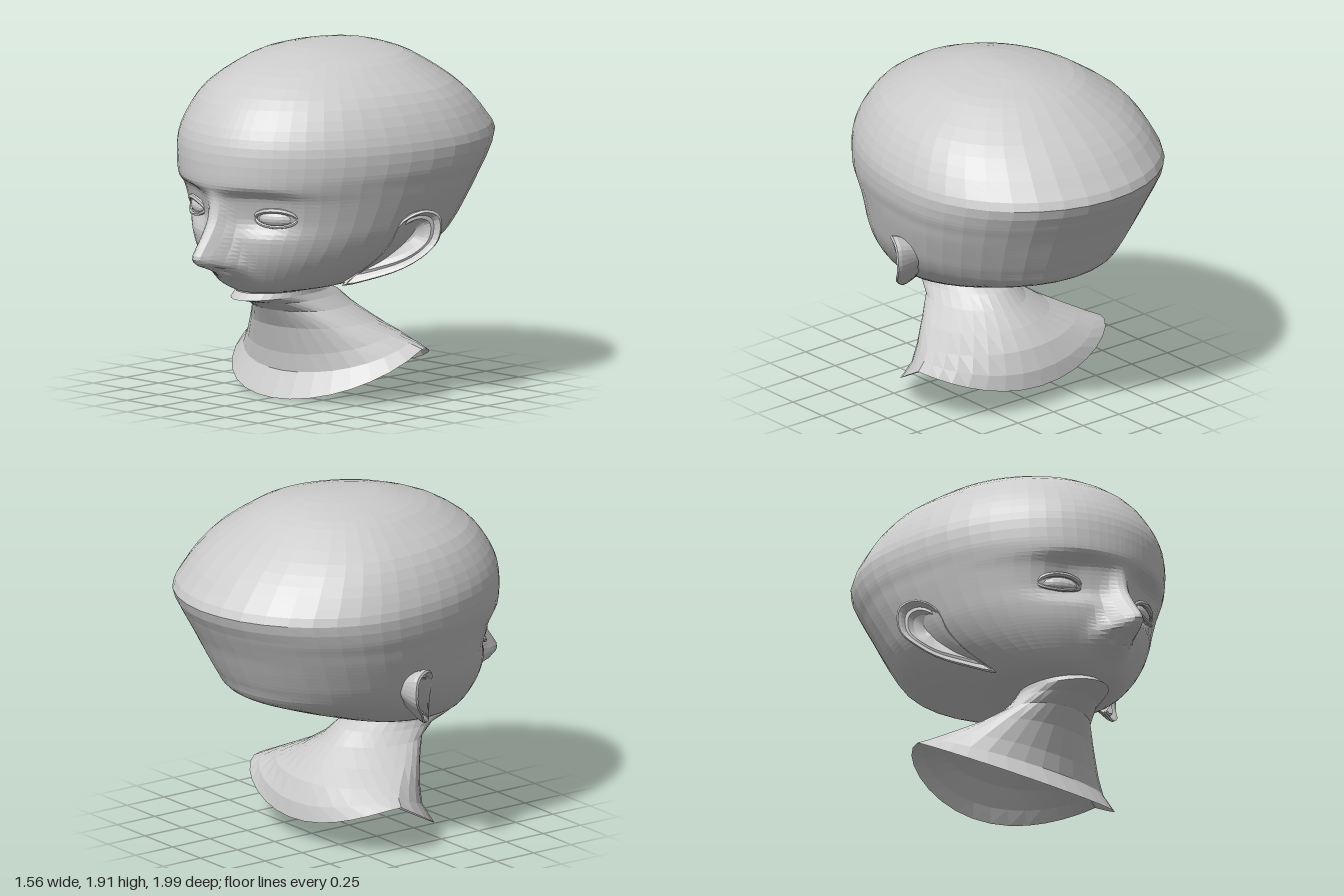
import * as THREE from 'three';

const V = (x, y, z) => new THREE.Vector3(x, y, z);
const material = new THREE.MeshStandardMaterial({ color: 0xcccccc, flatShading: true });
const thin = new THREE.MeshStandardMaterial({ color: 0xcccccc, flatShading: true, side: THREE.DoubleSide });

function mesh(name, geometry, mat = material) {
  const m = new THREE.Mesh(geometry, mat);
  m.name = name;
  return m;
}

// Skin a list of closed rings, ordered top to bottom
function loft(rings) {
  const n = rings[0].length, pos = [], index = [];
  rings.forEach(ring => ring.forEach(p => pos.push(p.x, p.y, p.z)));
  for (let r = 0; r < rings.length - 1; r++) {
    for (let c = 0; c < n; c++) {
      const d = (c + 1) % n;
      const a = r * n + c, b = r * n + d, e = a + n, f = b + n;
      index.push(a, e, f, a, f, b);
    }
  }
  const g = new THREE.BufferGeometry();
  g.setAttribute('position', new THREE.Float32BufferAttribute(pos, 3));
  g.setIndex(index);
  g.computeVertexNormals();
  return g;
}

// Smooth table lookup; knots are [key, value] with rising keys
function table(knots) {
  const f = new THREE.CubicInterpolant(knots.map(k => k[0]), knots.map(k => k[1]), 1);
  return t => f.evaluate(THREE.MathUtils.clamp(t, knots[0][0], knots[knots.length - 1][0]))[0];
}

// Angles round a ring, closer together at the front
function ringAngles(half, power) {
  const list = [];
  for (let i = 0; i < 2 * half; i++) {
    const u = i <= half ? i / half : (i - 2 * half) / half;
    list.push(Math.sign(u) * Math.PI * Math.abs(u) ** power);
  }
  return list;
}

const noseHeight = table([[0.65, 0], [0.7, 0.03], [0.745, 0.08], [0.775, 0.13], [0.8, 0.185], [0.84, 0.215],
  [0.88, 0.19], [0.95, 0.135], [1.05, 0.07], [1.12, 0.035], [1.2, 0]]);
const noseWidth = table([[0.65, 0.14], [0.78, 0.105], [0.85, 0.085], [0.95, 0.07], [1.2, 0.055]]);
const gauss = (d, w) => Math.exp(-((d / w) ** 2));

// Depth change of the face: nose, nostrils and eye sockets
function faceRelief(x, y) {
  const ax = Math.abs(x), step = THREE.MathUtils.smoothstep;
  const nose = noseHeight(y) * Math.exp(-((ax / noseWidth(y)) ** 2.5));
  const nostril = 0.035 * gauss(ax - 0.05, 0.025) * gauss(y - 0.77, 0.02);
  const socket = 0.06 * gauss(ax - 0.25, 0.14) * step(y, 0.93, 1.05) * (1 - step(y, 1.17, 1.235));
  return nose - nostril - socket;
}

function headGeometry() {
  // Horizontal sections: y, half width, front z, back z, z of widest point
  const sections = [
    [1.92, 0.04, 0, -0.14, -0.07], [1.905, 0.18, 0.18, -0.3, -0.08], [1.86, 0.37, 0.36, -0.46, -0.1],
    [1.8, 0.48, 0.53, -0.58, -0.12], [1.7, 0.62, 0.69, -0.73, -0.15], [1.6, 0.7, 0.78, -0.85, -0.18],
    [1.5, 0.75, 0.84, -0.94, -0.2], [1.41, 0.775, 0.865, -1, -0.22], [1.3, 0.765, 0.87, -0.945, -0.2],
    [1.22, 0.74, 0.862, -0.9, -0.18], [1.15, 0.72, 0.825, -0.86, -0.16], [1.05, 0.685, 0.8, -0.81, -0.12],
    [0.95, 0.645, 0.79, -0.755, -0.08], [0.86, 0.59, 0.78, -0.69, -0.03], [0.78, 0.52, 0.75, -0.49, 0.05],
    [0.7, 0.42, 0.7, -0.25, 0.18], [0.65, 0.33, 0.66, -0.08, 0.25], [0.62, 0.2, 0.61, 0.06, 0.32]];
  const last = sections.length - 1;
  const spline = new THREE.CubicInterpolant(sections.map((s, i) => i), sections.flat(), 5);
  const angles = ringAngles(26, 1.6);
  const rings = [angles.map(() => V(0, 1.922, -0.07))];
  for (let t = 0; t <= last; t += t < 8 ? 0.5 : 0.25) {
    const [y, w, front, back, mid] = spline.evaluate(t);
    rings.push(angles.map(a => {
      const c = Math.cos(a), x = w * Math.sin(a);
      const z = mid + c * (c > 0 ? front - mid : mid - back);
      return V(x, y, z + (c > 0 ? faceRelief(x, y) : 0));
    }));
  }
  rings.push(angles.map(() => V(0, 0.617, 0.32)));
  return loft(rings);
}

function neckGeometry() {
  // Rings: front y, z; side x, y, z; back y, z
  const rows = [
    [0.615, 0.61, 0.2, 0.62, 0.3, 0.625, 0.06], [0.578, 0.655, 0.2, 0.595, 0.3, 0.6, 0],
    [0.55, 0.52, 0.215, 0.56, 0.27, 0.57, -0.06], [0.5, 0.42, 0.26, 0.5, 0.2, 0.5, -0.14],
    [0.4, 0.36, 0.37, 0.42, 0.1, 0.42, -0.24], [0.25, 0.32, 0.49, 0.36, -0.02, 0.33, -0.33],
    [0.15, 0.31, 0.57, 0.32, -0.09, 0.22, -0.385], [0.01, 0.39, 0.635, 0.29, -0.12, 0.13, -0.4]];
  const angles = ringAngles(16, 1);
  return loft(rows.map(([fy, fz, sx, sy, sz, by, bz]) => angles.map(a => {
    const c = Math.cos(a);
    return c > 0
      ? V(sx * Math.sin(a), sy + (fy - sy) * c, sz + (fz - sz) * c)
      : V(sx * Math.sin(a), sy + (by - sy) * c * c, sz + (sz - bz) * c);
  })));
}

// Left ear: a back shell, a rolled rim and a hollow bowl
function earGeometry() {
  const outline = new THREE.CatmullRomCurve3([
    V(0.64, 1, 0.07), V(0.7, 1.06, 0.02), V(0.745, 1.08, -0.05), V(0.772, 1.05, -0.115), V(0.775, 0.98, -0.13),
    V(0.76, 0.9, -0.115), V(0.715, 0.82, -0.05), V(0.62, 0.745, 0.03), V(0.5, 0.69, 0.14), V(0.38, 0.655, 0.24),
    V(0.44, 0.72, 0.19), V(0.53, 0.81, 0.13), V(0.595, 0.9, 0.09)], true);
  const rim = outline.getPoints(32).slice(0, 32);
  const centre = V(0.65, 0.91, 0);
  const out = V(0.8, -0.2, 0.5).normalize();
  // Scale about the centre and shift outward, from back to bowl
  const steps = [[0.6, -0.1], [0.85, -0.045], [0.97, -0.015], [1, 0.005], [0.94, 0.016], [0.86, 0.006],
    [0.78, -0.012], [0.68, -0.006], [0.55, -0.03], [0.25, -0.045], [0, -0.045]];
  return loft(steps.map(([s, d]) => rim.map(p => p.clone().sub(centre).multiplyScalar(s).add(centre).addScaledVector(out, d))));
}

// Lid: tube along half an ellipse; sign is +1 above, -1 below
function lidGeometry(sign, height, radius) {
  const points = [];
  for (let i = 0; i <= 8; i++) {
    const a = Math.PI * i / 8;
    points.push(V(0.118 * Math.cos(a), sign * height * Math.sin(a), 0.012 + 0.04 * Math.sin(a)));
  }
  return new THREE.TubeGeometry(new THREE.CatmullRomCurve3(points), 14, radius, 6);
}

// Ear and eye of one side
function sideParts(side, label) {
  const group = new THREE.Group();
  group.name = label + 'Features';
  group.scale.x = side;
  group.add(mesh(label + 'Ear', earGeometry(), thin));
  const eye = new THREE.Group();
  eye.name = label + 'Eye';
  eye.position.set(0.285, 1.062, 0.635);
  eye.rotation.y = 0.48;
  const ball = new THREE.SphereGeometry(1, 16, 10);
  ball.scale(0.112, 0.05, 0.055);
  eye.add(mesh(label + 'Eyeball', ball));
  eye.add(mesh(label + 'UpperLid', lidGeometry(1, 0.048, 0.014)));
  eye.add(mesh(label + 'LowerLid', lidGeometry(-1, 0.042, 0.01)));
  group.add(eye);
  return group;
}

export function createModel() {
  const model = new THREE.Group();
  model.name = 'headBust';
  model.add(mesh('head', headGeometry()));
  model.add(mesh('neckAndShoulders', neckGeometry(), thin));
  model.add(sideParts(1, 'left'), sideParts(-1, 'right'));
  return model;
}
